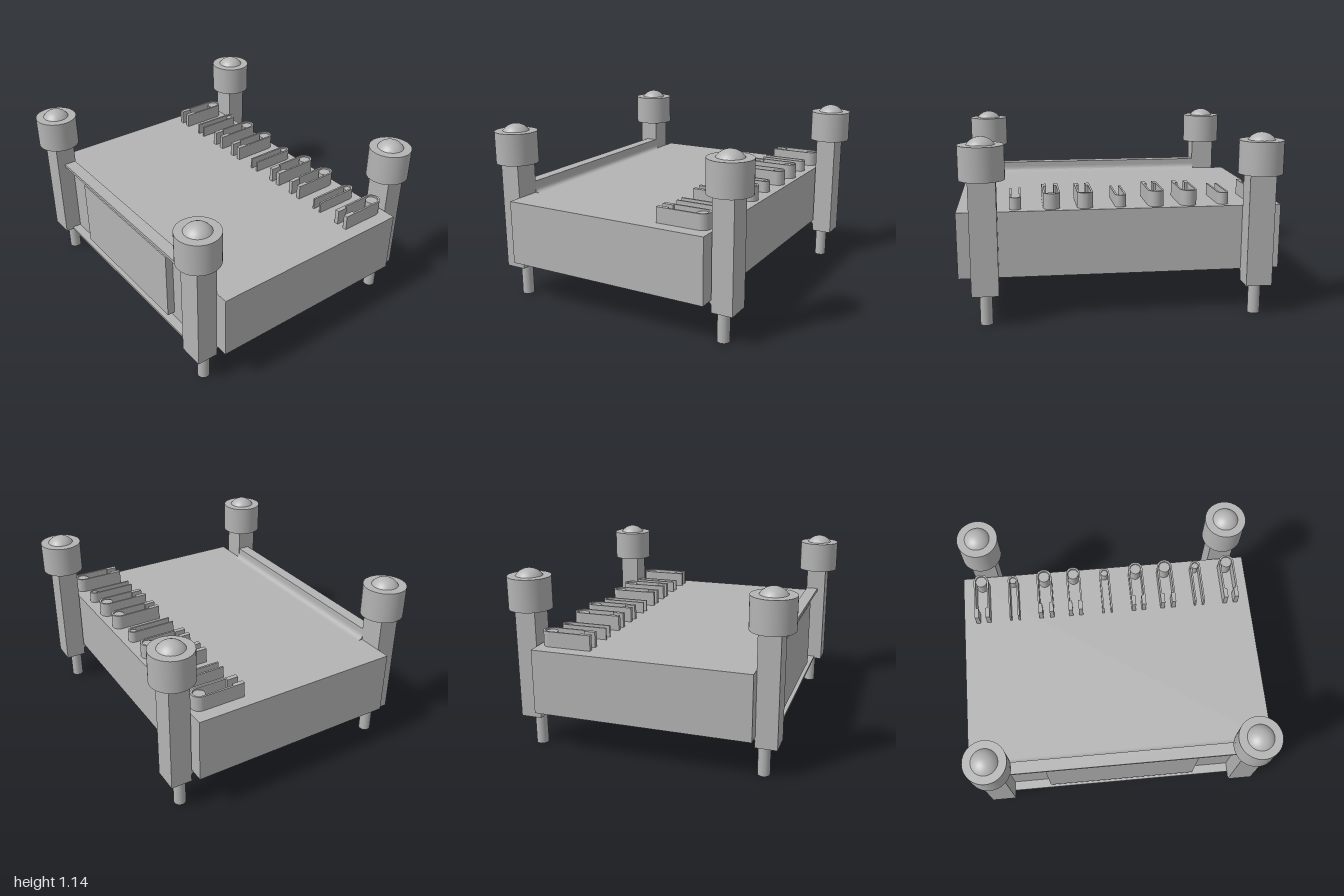
import * as THREE from 'three';

const grey = new THREE.MeshStandardMaterial({ color: 0xb4b4b4 });
grey.name = 'plain grey';

function add(parent, name, geometry, x = 0, y = 0, z = 0) {
  const mesh = new THREE.Mesh(geometry, grey);
  mesh.name = name;
  mesh.position.set(x, y, z);
  parent.add(mesh);
  return mesh;
}

const box = (x0, x1, y0, y1, z0, z1) =>
  new THREE.BoxGeometry(x1 - x0, y1 - y0, z1 - z0)
    .translate((x0 + x1) / 2, (y0 + y1) / 2, (z0 + z1) / 2);

// Extrude a shape from z0 to z1
const slab = (shape, z0, z1) =>
  new THREE.ExtrudeGeometry(shape, { depth: z1 - z0, bevelEnabled: false, curveSegments: 10 })
    .translate(0, 0, z0);

// Corner post with hollow foot, round cap and dome; s is the x side
function makePost(s, z) {
  const post = new THREE.Group();
  post.name = 'cornerPost';
  add(post, 'postShaft', box(s * 0.755 - 0.067, s * 0.755 + 0.067, 0.2, 0.9, z - 0.081, z + 0.081));

  // Concave fillet under the body
  const f = new THREE.Shape();
  f.moveTo(s * 0.7, 0.23);
  f.lineTo(s * 0.69, 0.23);
  f.quadraticCurveTo(s * 0.688, 0.27, s * 0.65, 0.27);
  f.lineTo(s * 0.7, 0.28);
  add(post, 'postFillet', slab(f, z - 0.081, z + 0.081));

  // Hollow foot, lathed
  const foot = [[0.015, 0.03], [0.015, 0], [0.038, 0], [0.038, 0.2]];
  const corner = (p) => new THREE.Vector2(p[0], p[1]);
  for (let i = 0; i < 3; i++) {
    add(post, 'foot', new THREE.LatheGeometry([corner(foot[i]), corner(foot[i + 1])], 28), s * 0.73, 0, z);
  }
  add(post, 'footPlug', new THREE.CylinderGeometry(0.016, 0.016, 0.16, 20), s * 0.73, 0.11, z);

  add(post, 'cap', new THREE.CylinderGeometry(0.135, 0.135, 0.203, 48), s * 0.755, 0.9965, z);
  const dome = new THREE.SphereGeometry(0.099, 36, 10, 0, Math.PI * 2, 0, 1.0);
  add(post, 'capDome', dome, s * 0.755, 1.046, z);
  return post;
}

// Hairpin clip: open towards -x, round at its +x end
function makeClip(z, halfWidth, tip, pinRadius, height, thickEnds) {
  const clip = new THREE.Group();
  clip.name = 'hairpinClip';
  const r = halfWidth, t = 0.012, cx = tip - r;
  const e = thickEnds ? 0.028 : t;
  const u = new THREE.Shape();
  u.moveTo(0.33, -r);
  u.lineTo(cx, -r);
  u.absarc(cx, 0, r, -Math.PI / 2, Math.PI / 2, false);
  u.lineTo(0.33, r);
  u.lineTo(0.33, r - e);
  u.lineTo(0.4, r - e);
  u.lineTo(0.4, r - t);
  u.lineTo(cx, r - t);
  u.absarc(cx, 0, r - t, Math.PI / 2, -Math.PI / 2, true);
  u.lineTo(0.4, -r + t);
  u.lineTo(0.4, -r + e);
  u.lineTo(0.33, -r + e);
  const band = slab(u, 0, height).rotateX(-Math.PI / 2);
  add(clip, 'clipBand', band, 0, 0.68, z);
  add(clip, 'clipPin', new THREE.CylinderGeometry(pinRadius, pinRadius, height - 0.01, 24),
    cx, 0.68 + (height - 0.01) / 2, z);
  return clip;
}

export function createModel() {
  const model = new THREE.Group();
  model.name = 'bedFrame';

  // Main block
  add(model, 'body', box(-0.69, 0.68, 0.27, 0.68, -1, 1));

  // Channel rail on the right side, blended into the body above and below
  const c = new THREE.Shape();
  c.moveTo(-0.77, 0.2);
  c.lineTo(-0.69, 0.2);
  c.lineTo(-0.69, 0.23);
  c.quadraticCurveTo(-0.688, 0.27, -0.65, 0.27);
  c.lineTo(-0.65, 0.68);
  c.quadraticCurveTo(-0.688, 0.68, -0.69, 0.72);
  c.lineTo(-0.69, 0.755);
  c.lineTo(-0.77, 0.755);
  c.lineTo(-0.77, 0.735);
  c.lineTo(-0.71, 0.735);
  c.lineTo(-0.71, 0.215);
  c.lineTo(-0.77, 0.215);
  add(model, 'sideRail', slab(c, -0.76, 0.76));
  add(model, 'sidePanel', box(-0.76, -0.7, 0.25, 0.71, -0.5, 0.5));

  for (const s of [-1, 1]) {
    for (const z of [-0.834, 0.834]) model.add(makePost(s, z));
  }

  // Row of clips, mirrored front to back
  model.add(makeClip(0, 0.035, 0.64, 0.022, 0.075, false));
  for (const m of [-1, 1]) {
    model.add(makeClip(m * 0.22, 0.049, 0.655, 0.036, 0.097, true));
    model.add(makeClip(m * 0.425, 0.052, 0.655, 0.038, 0.097, true));
    model.add(makeClip(m * 0.645, 0.035, 0.64, 0.022, 0.075, false));
    model.add(makeClip(m * 0.864, 0.051, 0.655, 0.038, 0.097, true));
  }
  return model;
}
